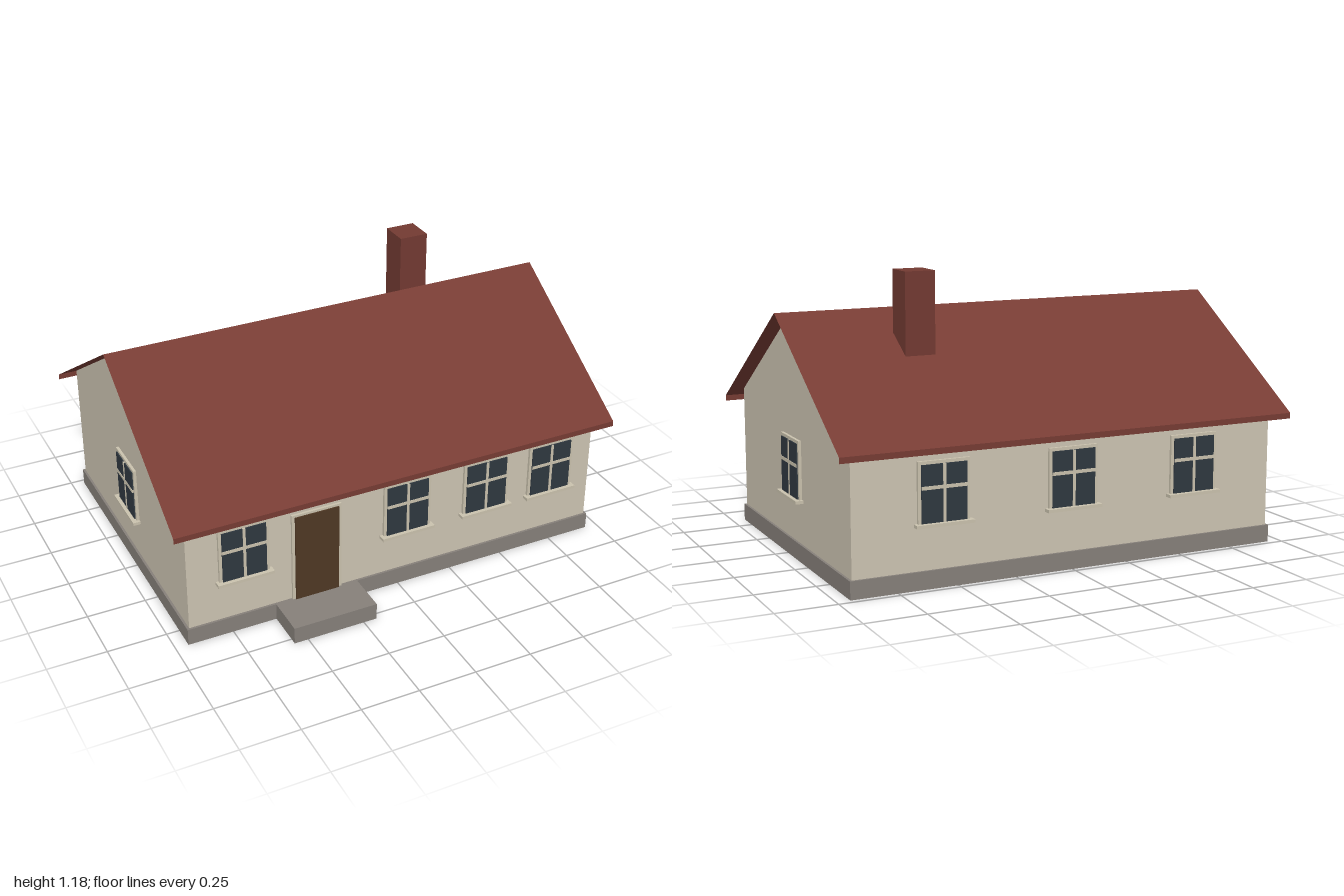
import * as THREE from 'three';

const material = (name, color, side = THREE.FrontSide) => {
  const m = new THREE.MeshStandardMaterial({ color, side });
  m.name = name;
  return m;
};

export function createModel() {
  const house = new THREE.Group();
  house.name = 'house';

  const plaster = material('plaster', 0xcdc4b2);
  const trim = material('trim', 0xcac2ae);
  const stone = material('stone', 0x86807a);
  const brick = material('brick', 0x733a32);
  const tile = material('roofTile', 0x773c34, THREE.DoubleSide);
  const glass = material('glass', 0x2f3840);
  const wood = material('wood', 0x4f3824);

  const add = (parent, name, geometry, mat) => {
    const mesh = new THREE.Mesh(geometry, mat);
    mesh.name = name;
    parent.add(mesh);
    return mesh;
  };
  // Box given by its minimum and maximum corners
  const box = (parent, name, mat, [x0, y0, z0], [x1, y1, z1]) =>
    add(parent, name, new THREE.BoxGeometry(x1 - x0, y1 - y0, z1 - z0), mat)
      .position.set((x0 + x1) / 2, (y0 + y1) / 2, (z0 + z1) / 2);

  const wallX = 0.935, wallFront = 0.592, wallBack = -0.716, ridgeZ = -0.062;

  // Plinth and door step
  box(house, 'plinth', stone, [-0.945, 0, -0.726], [0.945, 0.073, 0.602]);
  box(house, 'doorStep', stone, [-0.56, 0, 0.602], [-0.192, 0.073, 0.78]);

  // Walls with both gables, one extruded cross-section (shape x becomes -z)
  const section = new THREE.Shape([
    [-wallFront, 0.02], [-wallBack, 0.02], [-wallBack, 0.597],
    [-ridgeZ, 1.004], [-wallFront, 0.597],
  ].map(([x, y]) => new THREE.Vector2(x, y)));
  const walls = new THREE.ExtrudeGeometry(section, { depth: 2 * wallX, bevelEnabled: false });
  walls.translate(0, 0, -wallX).rotateY(Math.PI / 2);
  add(house, 'walls', walls, plaster);

  // Roof: open folded sheet with short vertical eaves
  const profile = [[0.655, 0.537], [0.655, 0.561], [ridgeZ, 1.008], [-0.78, 0.561], [-0.78, 0.537]];
  const corners = [];
  for (let i = 0; i < profile.length - 1; i++) {
    const [z0, y0] = profile[i], [z1, y1] = profile[i + 1];
    corners.push(-1, y0, z0, 1, y0, z0, 1, y1, z1, -1, y0, z0, 1, y1, z1, -1, y1, z1);
  }
  const roof = new THREE.BufferGeometry();
  roof.setAttribute('position', new THREE.Float32BufferAttribute(corners, 3));
  roof.computeVertexNormals();
  add(house, 'roof', roof, tile);

  // Chimney
  box(house, 'chimney', brick, [0.418, 0.75, -0.332], [0.547, 1.178, -0.202]);

  // Window, built facing +z with its back on the wall plane
  const addWindow = (name, x, z, turn) => {
    const w = new THREE.Group();
    w.name = name;
    box(w, 'frame', trim, [-0.108, 0.255, -0.005], [0.108, 0.502, 0.012]);
    box(w, 'pane', glass, [-0.095, 0.261, 0.01], [0.095, 0.489, 0.017]);
    box(w, 'mullion', trim, [-0.006, 0.261, 0.012], [0.006, 0.489, 0.019]);
    box(w, 'transom', trim, [-0.095, 0.392, 0.012], [0.095, 0.406, 0.019]);
    box(w, 'sill', trim, [-0.121, 0.247, -0.005], [0.121, 0.26, 0.032]);
    w.position.set(x, 0, z);
    w.rotation.y = turn;
    house.add(w);
  };
  for (const x of [-0.693, 0.037, 0.412, 0.73]) addWindow('frontWindow', x, wallFront, 0);
  for (const x of [-0.56, 0, 0.56]) addWindow('backWindow', x, wallBack, Math.PI);
  for (const s of [-1, 1]) addWindow(s > 0 ? 'leftWindow' : 'rightWindow', s * wallX, -0.06, s * Math.PI / 2);

  // Front door
  box(house, 'doorFrame', trim, [-0.485, 0.073, wallFront - 0.005], [-0.265, 0.48, wallFront + 0.01]);
  box(house, 'door', wood, [-0.472, 0.073, wallFront + 0.008], [-0.278, 0.47, wallFront + 0.016]);

  return house;
}
